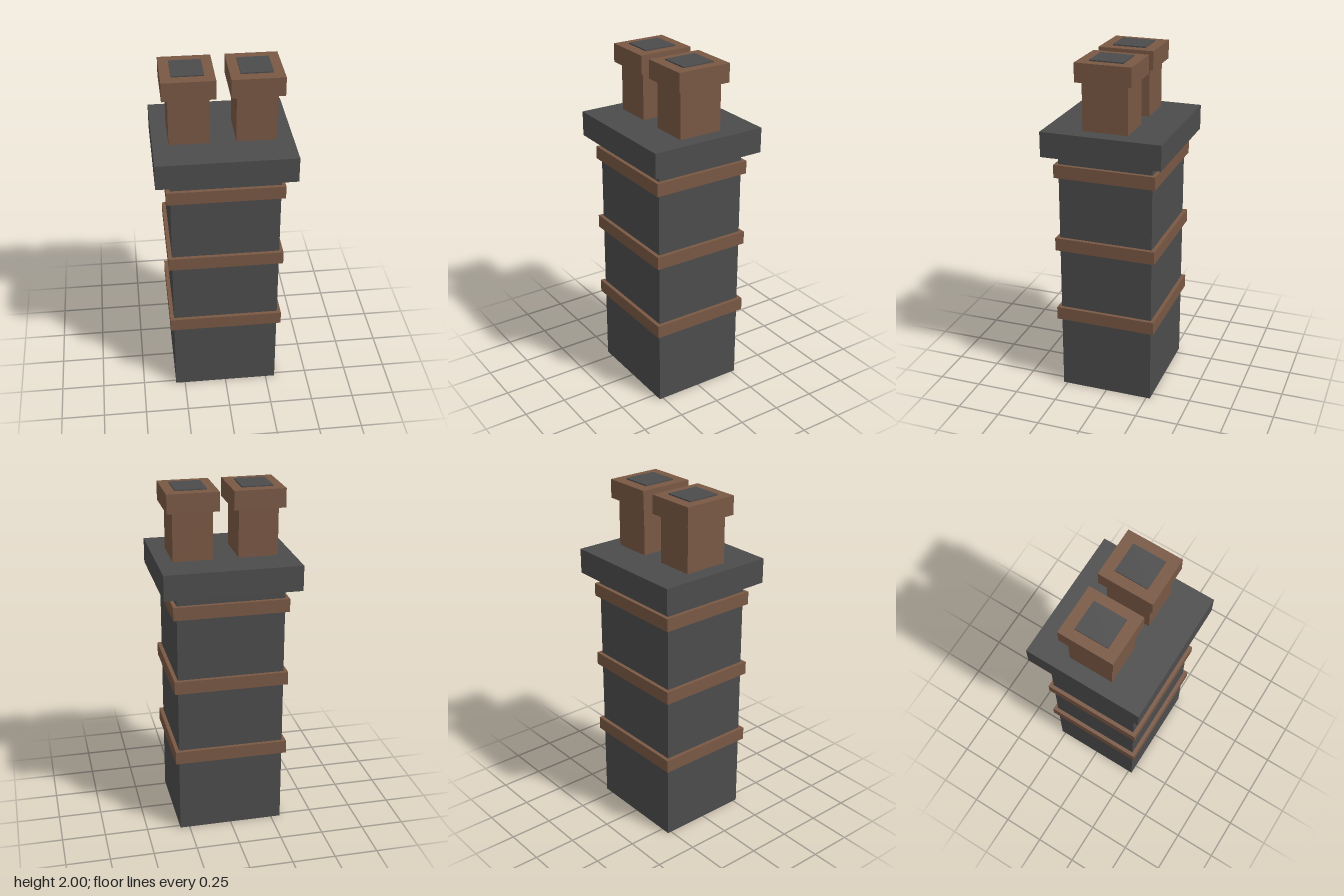
import * as THREE from 'three';

export function createModel() {
  const group = new THREE.Group();
  group.name = 'chimney';
  const stone = new THREE.MeshStandardMaterial({ color: 0x4c4c4c });
  stone.name = 'dark stone';
  const clay = new THREE.MeshStandardMaterial({ color: 0x795844 });
  clay.name = 'brown clay';

  // Box from its half extents in x and z and its bottom and top heights
  function block(name, material, halfX, halfZ, bottom, top, x = 0) {
    const geometry = new THREE.BoxGeometry(halfX * 2, top - bottom, halfZ * 2);
    const mesh = new THREE.Mesh(geometry, material);
    mesh.name = name;
    mesh.position.set(x, (bottom + top) / 2, 0);
    group.add(mesh);
  }

  // Stack and overhanging cap
  block('stack', stone, 0.305, 0.273, 0, 1.466);
  block('cap', stone, 0.385, 0.345, 1.466, 1.61);

  // Decorative bands around the stack
  [0.445, 0.888, 1.33].forEach((y, i) => block('band' + (i + 1), clay, 0.327, 0.295, y, y + 0.076));

  // Two pots, each with a rim and a dark flue plate
  for (const [side, x] of [['left', 0.184], ['right', -0.184]]) {
    block(side + 'Pot', clay, 0.112, 0.13, 1.61, 1.886, x);
    block(side + 'PotRim', clay, 0.145, 0.16, 1.886, 1.993, x);
    block(side + 'Flue', stone, 0.088, 0.096, 1.993, 2, x);
  }
  return group;
}
